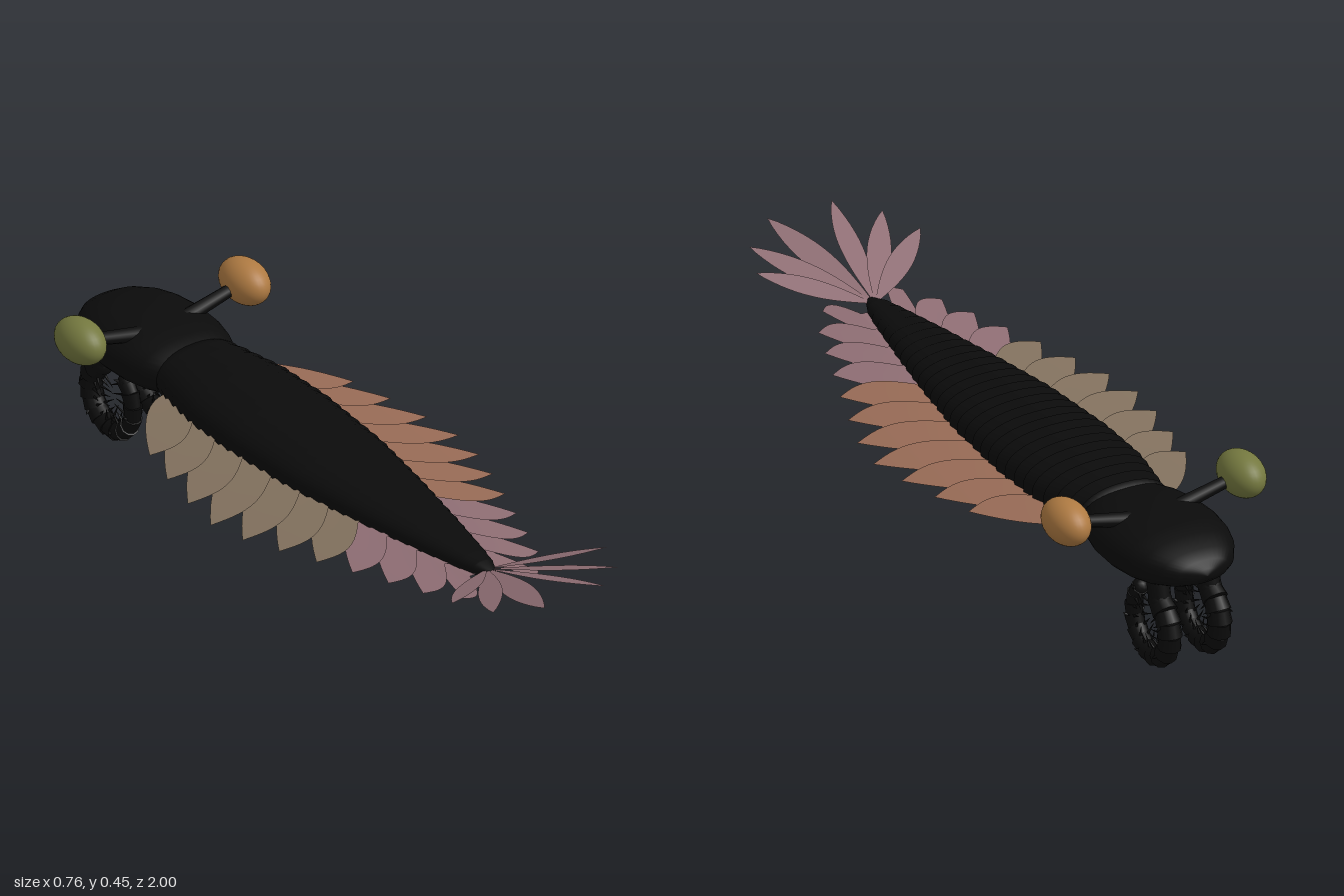
import * as THREE from 'three';

const mat = (name, color, side = THREE.FrontSide) => {
  const m = new THREE.MeshStandardMaterial({ color, side });
  m.name = name;
  return m;
};

// Piecewise-linear lookup in rows of [z, halfWidth, bottom, top]
function sample(rows, z) {
  let i = 0;
  while (i < rows.length - 2 && z > rows[i + 1][0]) i++;
  const [a, b] = [rows[i], rows[i + 1]];
  const t = THREE.MathUtils.clamp((z - a[0]) / (b[0] - a[0]), 0, 1);
  return a.map((v, k) => v + (b[k] - v) * t);
}

// Grid surface from fn(i, j) => [x, y, z]
function gridGeometry(rows, cols, fn) {
  const pos = [], idx = [];
  for (let i = 0; i <= rows; i++) for (let j = 0; j <= cols; j++) pos.push(...fn(i, j));
  for (let i = 0; i < rows; i++) for (let j = 0; j < cols; j++) {
    const a = i * (cols + 1) + j, b = a + cols + 1;
    idx.push(a, a + 1, b, a + 1, b + 1, b);
  }
  const g = new THREE.BufferGeometry();
  g.setAttribute('position', new THREE.Float32BufferAttribute(pos, 3));
  g.setIndex(idx);
  g.computeVertexNormals();
  return g;
}

// Rounded-oval loft along z
function loft(sections, sides = 36) {
  const power = (v) => Math.sign(v) * Math.abs(v) ** 0.88;
  return gridGeometry(sections.length - 1, sides, (i, j) => {
    const [z, w, lo, hi] = sections[i], a = (j / sides) * Math.PI * 2;
    return [power(Math.cos(a)) * w, (lo + hi) / 2 + power(Math.sin(a)) * (hi - lo) / 2, z];
  });
}

const BODY = [
  [-0.62, 0.115, 0.23, 0.355], [-0.54, 0.132, 0.222, 0.36], [-0.42, 0.155, 0.22, 0.363],
  [-0.25, 0.16, 0.223, 0.362], [0, 0.145, 0.233, 0.352], [0.2, 0.115, 0.244, 0.341],
  [0.4, 0.078, 0.256, 0.329], [0.56, 0.045, 0.267, 0.318], [0.64, 0.024, 0.276, 0.31],
  [0.66, 0.008, 0.288, 0.3],
];
const HEAD = [
  [-1, 0, 0.29, 0.29], [-0.995, 0.03, 0.276, 0.308], [-0.98, 0.07, 0.262, 0.325],
  [-0.95, 0.104, 0.247, 0.342], [-0.9, 0.134, 0.232, 0.358], [-0.85, 0.15, 0.223, 0.366],
  [-0.78, 0.159, 0.218, 0.37], [-0.7, 0.155, 0.218, 0.368], [-0.64, 0.141, 0.223, 0.362],
  [-0.59, 0.12, 0.233, 0.352], [-0.56, 0.09, 0.25, 0.335], [-0.55, 0, 0.29, 0.29],
];

export function createModel() {
  const root = new THREE.Group();
  root.name = 'swimmingArthropod';
  const shell = mat('black shell', 0x0b0b0b);
  const rust = mat('rust flap', 0x986b56, THREE.DoubleSide);
  const tan = mat('tan flap', 0x82715e, THREE.DoubleSide);
  const mauve = mat('mauve fin', 0x8f6e74, THREE.DoubleSide);
  const amber = mat('amber eye', 0xae7a42);
  const olive = mat('olive eye', 0x74783f);

  const add = (name, geo, material, parent = root) => {
    const m = new THREE.Mesh(geo, material);
    m.name = name;
    parent.add(m);
    return m;
  };
  const rod = (name, a, b, r0, r1, parent) => {
    const d = b.clone().sub(a);
    const m = add(name, new THREE.CylinderGeometry(r1, r0, d.length(), 10), shell, parent);
    m.position.copy(a).addScaledVector(d, 0.5);
    m.quaternion.setFromUnitVectors(new THREE.Vector3(0, 1, 0), d.normalize());
  };

  // Trunk of overlapping rings, each flaring slightly toward the rear
  const trunk = [[-0.62, 0, 0.29, 0.29]], N = 30;
  for (let i = 0; i < N; i++) {
    for (const [t, s] of [[0, 0.97], [0.9, 1.02]]) {
      const [z, w, lo, hi] = sample(BODY, -0.62 + 1.28 * (i + t) / N);
      const mid = (lo + hi) / 2, h = (hi - lo) / 2 * s;
      trunk.push([z, w * s, mid - h, mid + h]);
    }
  }
  trunk.push([0.66, 0, 0.294, 0.294]);
  add('trunk', loft(trunk), shell);
  add('head', loft(HEAD), shell);

  // Mouth ring with a circle of teeth
  const mouth = new THREE.Group();
  mouth.name = 'mouth';
  mouth.position.set(0, 0.218, -0.785);
  root.add(mouth);
  const ring = add('mouthRing', new THREE.TorusGeometry(0.054, 0.02, 10, 32), shell, mouth);
  ring.rotation.x = Math.PI / 2;
  for (let i = 0; i < 20; i++) {
    const a = i / 20 * Math.PI * 2;
    const tooth = add('tooth', new THREE.ConeGeometry(0.006, 0.026, 5), shell, mouth);
    tooth.position.set(Math.cos(a) * 0.04, -0.012, Math.sin(a) * 0.04);
    tooth.rotation.x = Math.PI;
  }

  // Swept side flaps: [tip x, tip z]
  const TIPS = [[0.31, -0.36], [0.34, -0.245], [0.364, -0.125], [0.378, -0.01], [0.36, 0.1],
    [0.325, 0.205], [0.287, 0.31], [0.25, 0.41], [0.213, 0.51], [0.176, 0.605], [0.115, 0.69]];
  const flap = (side, [tipX, tipZ]) => {
    const z0 = tipZ - 0.2;
    const xb = sample(BODY, z0 + 0.05)[1] * 0.9;
    return gridGeometry(14, 5, (i, j) => {
      const t = Math.max(0, (i - 1) / 13), c = j / 5;
      const x = i === 0 ? xb * 0.4 : xb + (tipX - xb) * t;
      const lead = 0.2 * t ** 1.8;
      const trail = 0.13 + 0.07 * t + 0.045 * Math.sin(Math.PI * t);
      const z = z0 + lead + (trail - lead) * c;
      return [side * x, 0.281 - 0.245 * x * x + 0.008 * (c - 0.5) * (1 - t * t), z];
    });
  };

  // Tail blades: [tip x, tip y, tip z, half width]
  const BLADES = [[0.092, 0.389, 1, 0.032], [0.19, 0.372, 0.92, 0.03], [0.235, 0.362, 0.81, 0.029]];
  const blade = (side, [x, y, z, w]) => {
    const len = Math.hypot(x, z - 0.63);
    const nx = (z - 0.63) / len, nz = -x / len;
    return gridGeometry(14, 2, (i, j) => {
      const t = i / 14, s = (j - 1) * w * Math.sin(Math.PI * t ** 1.15) ** 0.85;
      return [side * (x * t + nx * s), 0.296 + (y - 0.296) * t - s * 0.3,
        0.63 + (z - 0.63) * t + nz * s];
    });
  };

  for (const side of [1, -1]) {
    const label = side > 0 ? 'left' : 'right';
    TIPS.forEach((tip, i) =>
      add(label + 'Flap', flap(side, tip), i > 6 ? mauve : side > 0 ? rust : tan));
    BLADES.forEach((b) => add(label + 'TailBlade', blade(side, b), mauve));

    // Stalked eye
    const eye = add(label + 'Eye', new THREE.SphereGeometry(1, 32, 20), side > 0 ? amber : olive);
    eye.scale.set(0.055, 0.058, 0.082);
    eye.position.set(side * 0.25, 0.388, -0.735);
    rod(label + 'EyeStalk', new THREE.Vector3(side * 0.07, 0.345, -0.735),
      new THREE.Vector3(side * 0.22, 0.38, -0.735), 0.02, 0.016, root);

    // Curled grasping limb in ringed segments, with spines along the inside
    const limb = new THREE.Group();
    limb.name = label + 'GraspingLimb';
    limb.position.set(side * 0.071, 0.113, -0.852);
    root.add(limb);
    const at = (a, r, x = 0) => new THREE.Vector3(x, Math.sin(a) * r, -Math.cos(a) * r);
    const SEG = 14, start = 0.36 * Math.PI, end = -1.27 * Math.PI;
    for (let i = 0; i < SEG; i++) {
      const a0 = start + (end - start) * i / SEG, a1 = start + (end - start) * (i + 1.15) / SEG;
      const thick = 0.032 - 0.011 * i / SEG, R = 0.084 + 0.011 * i / SEG;
      rod('limbSegment', at(a0, R), at(a1, R), thick * 0.9, thick * 1.05, limb);
      for (const s of [-1, 1]) {
        rod('limbSpine', at(a1, R - thick * 0.7, s * 0.01),
          at(a1 - 0.25, R - thick - 0.032 + 0.012 * (i % 2), s * 0.018), 0.004, 0.0005, limb);
        if (i % 3 === 1) rod('sideSpine', at(a1, R, s * thick * 0.8),
          at(a1 - 0.12, R, s * (thick + 0.007)), 0.006, 0.0005, limb);
      }
    }
    const tip = add('limbTip', new THREE.SphereGeometry(0.022, 12, 8), shell, limb);
    tip.position.copy(at(end, 0.094));
    const base = add('limbBase', new THREE.SphereGeometry(0.031, 12, 8), shell, limb);
    base.position.copy(at(start, 0.086));
    rod('limbRoot', at(start, 0.086), new THREE.Vector3(0, 0.15, -0.02), 0.029, 0.029, limb);
  }
  return root;
}
